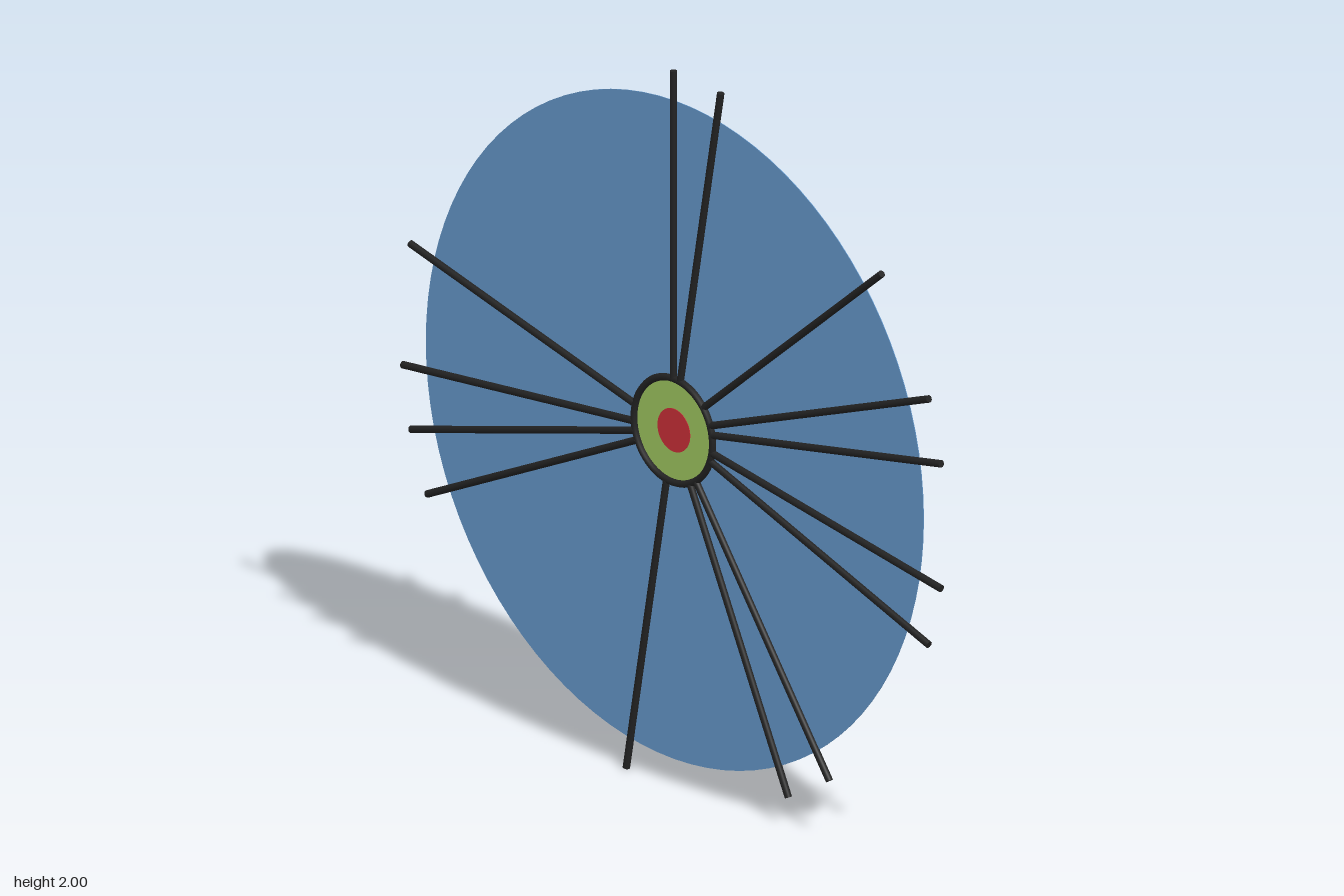
import * as THREE from 'three';

const CENTER_Y = 0.995;
const ROD = 0.01;

export function createModel() {
  const root = new THREE.Group();
  root.name = 'spokedDisc';
  const wheel = new THREE.Group();
  wheel.name = 'wheel';
  wheel.position.y = CENTER_Y;
  root.add(wheel);

  const material = (color) => new THREE.MeshStandardMaterial({ color });
  const black = material(0x222222);

  const add = (name, geometry, mat, z = 0) => {
    const mesh = new THREE.Mesh(geometry, mat);
    mesh.name = name;
    mesh.position.z = z;
    wheel.add(mesh);
    return mesh;
  };

  // Thin stacked plates, showing on both faces
  const plate = (name, radius, thickness, color) =>
    add(name, new THREE.CylinderGeometry(radius, radius, thickness, 96).rotateX(Math.PI / 2), material(color), -0.005);
  plate('largeDisc', 0.92, 0.002, 0x6699cc);
  plate('hubDisc', 0.145, 0.006, 0xa0c860);
  plate('hubCentre', 0.06, 0.009, 0xcc3038);

  // Rim around the hub
  add('hubRing', new THREE.TorusGeometry(0.145, ROD, 8, 72), black);

  // Irregularly spaced spokes from the hub past the disc edge
  const inner = 0.148, outer = 1.005;
  const spokeGeometry = new THREE.CylinderGeometry(ROD, ROD, outer - inner, 12)
    .rotateZ(-Math.PI / 2)
    .translate((inner + outer) / 2, 0, 0);
  const angles = [90, 80, 40, 20, 10, -10, -20, -55, -65, -100, -155, -165, -175, 165];
  angles.forEach((deg, i) => {
    // The last spoke sits a little further forward in the disc
    const spoke = add(`spoke${i + 1}`, spokeGeometry, black, deg === 165 ? 0.003 : 0);
    spoke.rotation.z = THREE.MathUtils.degToRad(deg);
  });

  return root;
}
